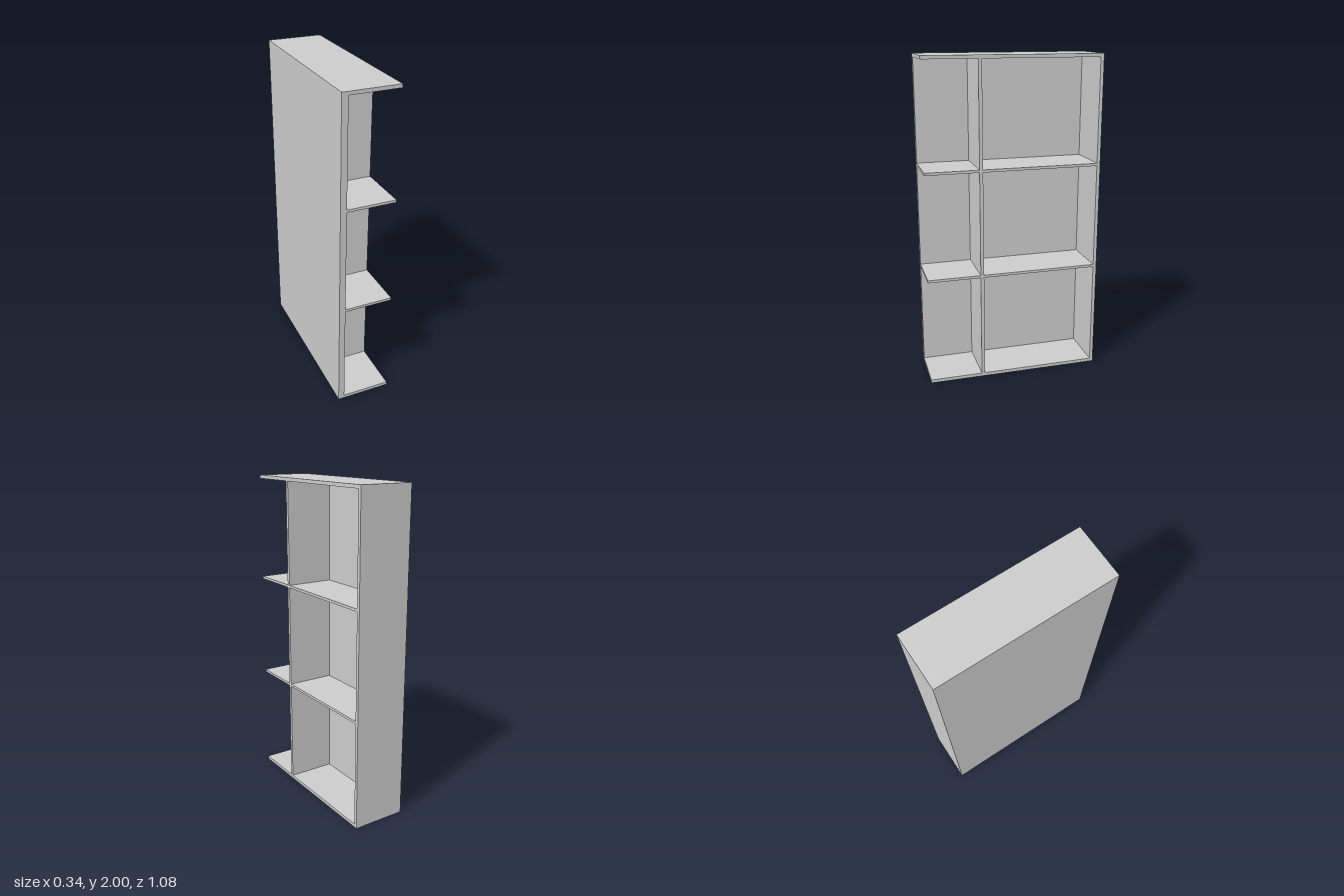
import * as THREE from 'three';

const material = new THREE.MeshStandardMaterial({ color: 0xcccccc, flatShading: true });

// Box given by its lower and upper limits on each axis
function panel(name, [x0, x1], [y0, y1], [z0, z1]) {
  const mesh = new THREE.Mesh(new THREE.BoxGeometry(x1 - x0, y1 - y0, z1 - z0), material);
  mesh.name = name;
  mesh.position.set((x0 + x1) / 2, (y0 + y1) / 2, (z0 + z1) / 2);
  return mesh;
}

export function createModel() {
  const group = new THREE.Group();
  group.name = 'bookcase';

  const T = 0.021;                 // board thickness
  const X = 0.168, Z = 0.542, H = 2;
  const backX = -0.131;            // inner face of the back panel
  const depth = [backX, X];
  const endZ = -Z + T;             // inner face of the end panel
  const divider = [0.195, 0.216];

  // Thick back panel and the single closed end
  group.add(panel('backPanel', [-X - 0.001, backX], [0, H], [-Z, Z]));
  group.add(panel('endPanel', depth, [0, H], [-Z, endZ]));

  // Top and bottom boards
  group.add(panel('bottomBoard', depth, [0, T], [endZ, Z]));
  group.add(panel('topBoard', depth, [H - T, H], [endZ, Z]));

  // Upright divider between wide and narrow bays
  group.add(panel('divider', depth, [T, H - T], divider));

  // Two shelf levels, split by the divider
  for (const y of [0.671, 1.329]) {
    group.add(panel('wideShelf', depth, [y, y + 0.016], [endZ, divider[0]]));
    group.add(panel('narrowShelf', depth, [y, y + 0.016], [divider[1], Z]));
  }
  return group;
}
